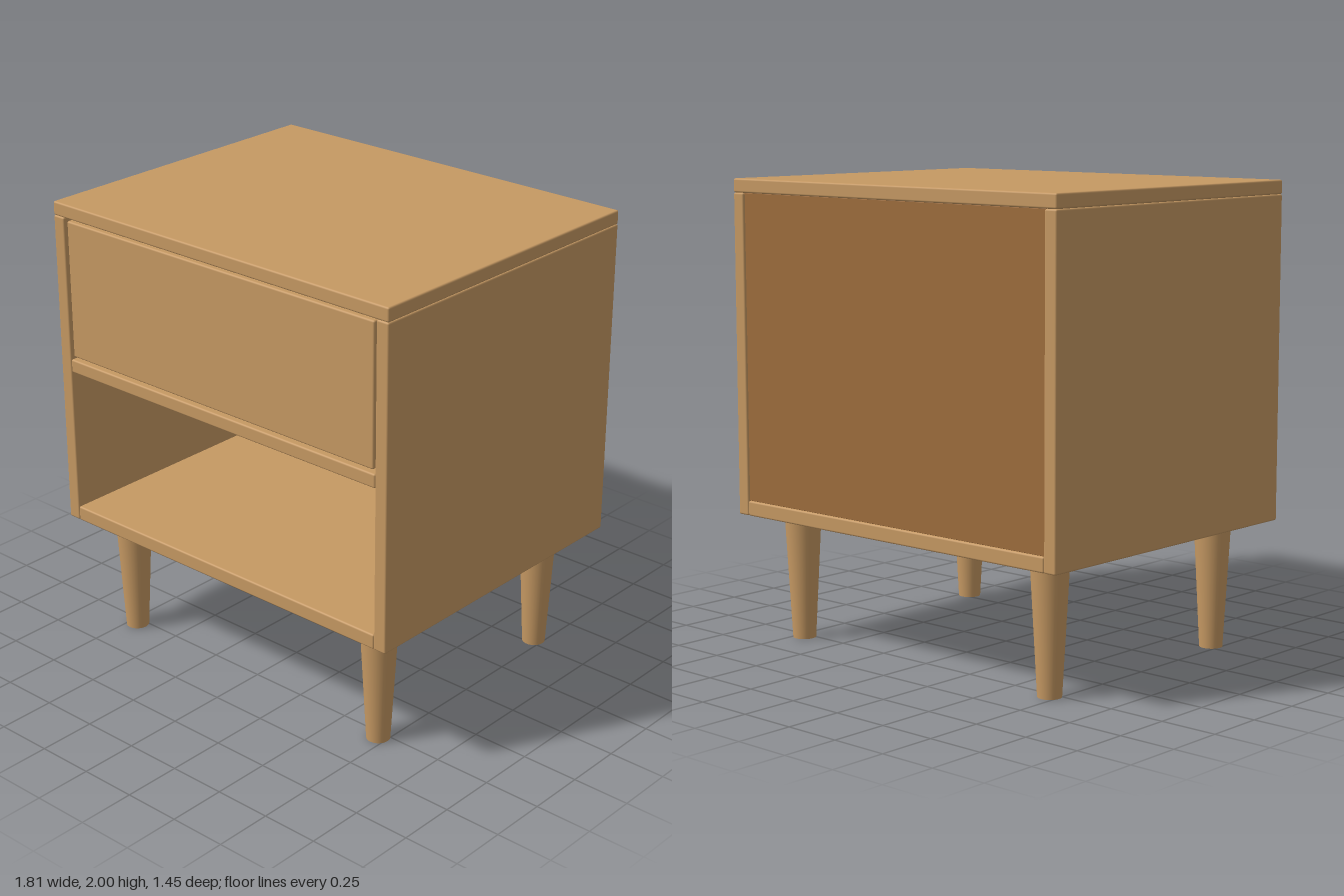
import * as THREE from 'three';
import { RoundedBoxGeometry } from 'three/addons/geometries/RoundedBoxGeometry.js';

export function createModel() {
  const model = new THREE.Group();
  model.name = 'nightstand';

  const wood = new THREE.MeshStandardMaterial({ color: 0xc69963 });
  wood.name = 'light wood';
  const darkWood = new THREE.MeshStandardMaterial({ color: 0x9e6d3d });
  darkWood.name = 'dark wood';

  // Board with softly rounded edges, given by its extents on each axis
  function board(name, [x0, x1], [y0, y1], [z0, z1], material = wood, radius = 0.008) {
    const geometry = new RoundedBoxGeometry(x1 - x0, y1 - y0, z1 - z0, 2, radius);
    const mesh = new THREE.Mesh(geometry, material);
    mesh.position.set((x0 + x1) / 2, (y0 + y1) / 2, (z0 + z1) / 2);
    mesh.name = name;
    model.add(mesh);
  }

  const W = 0.905, D = 0.725, inner = 0.845;
  const backFace = -0.685; // inner face of the back panel

  // Carcass
  board('top', [-W, W], [1.94, 2], [-D, D]);
  board('leftSide', [inner, W], [0.55, 1.94], [-D, D]);
  board('rightSide', [-W, -inner], [0.55, 1.94], [-D, D]);
  board('bottom', [-inner, inner], [0.55, 0.615], [-D, D]);
  board('shelf', [-inner, inner], [1.25, 1.31], [backFace, D]);
  board('backPanel', [-inner, inner], [0.615, 1.94], [-0.715, backFace], darkWood, 0.002);

  // Drawer front, set in a narrow gap
  board('drawerFront', [-0.832, 0.832], [1.323, 1.928], [0.66, 0.72]);

  // Tapered round legs
  const legGeometry = new THREE.CylinderGeometry(0.08, 0.05, 0.55, 32);
  for (const x of [-0.71, 0.71]) {
    for (const z of [-0.53, 0.53]) {
      const leg = new THREE.Mesh(legGeometry, wood);
      leg.position.set(x, 0.275, z);
      leg.name = `${z > 0 ? 'front' : 'back'}${x > 0 ? 'Left' : 'Right'}Leg`;
      model.add(leg);
    }
  }

  return model;
}
